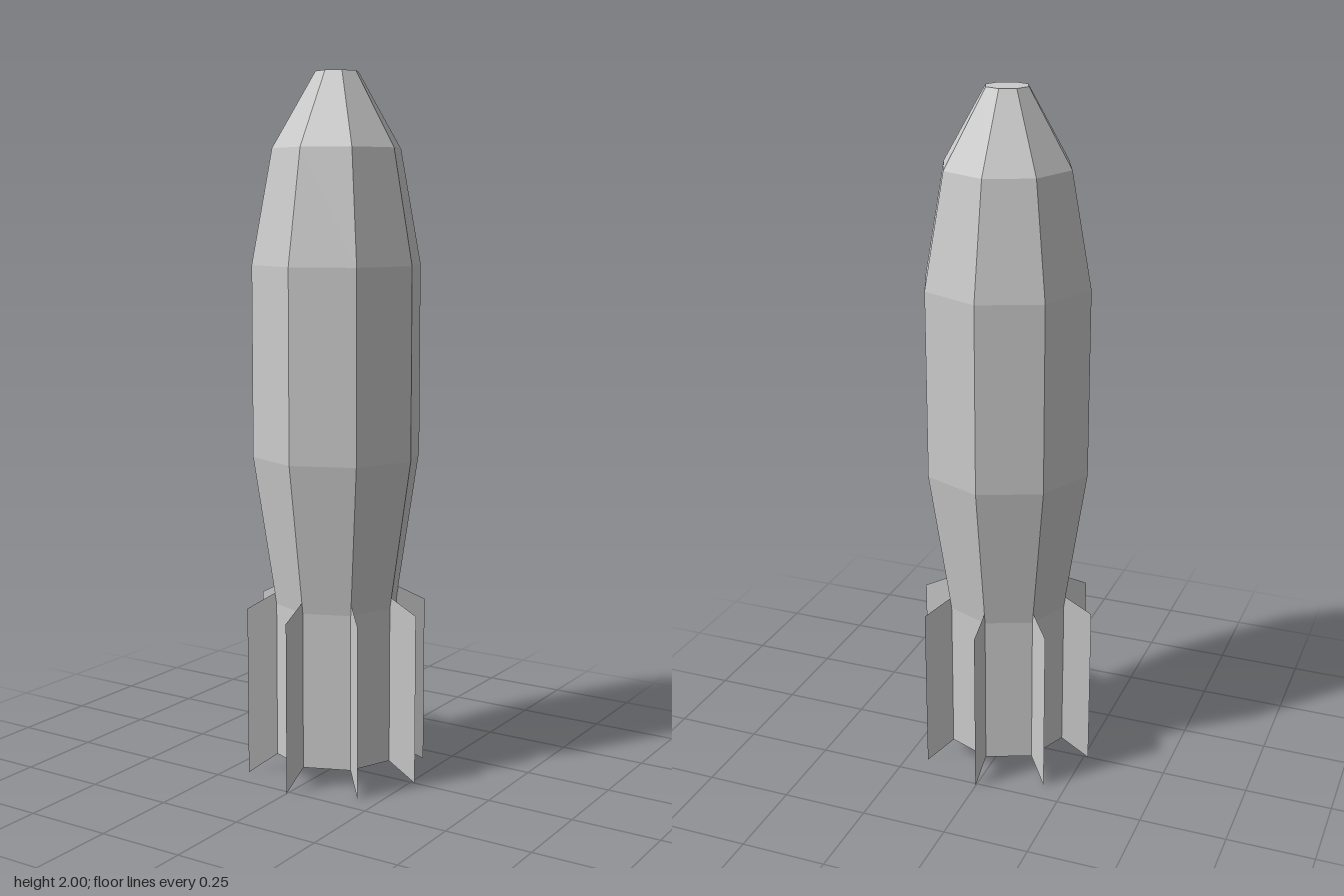
import * as THREE from 'three';

const SIDES = 8;

// Radius and height from the flat tail up to the blunt nose
const PROFILE = [
  [0, 0.05], [0.178, 0.05], [0.178, 0.5], [0.243, 0.93],
  [0.243, 1.47], [0.184, 1.79], [0.061, 2], [0, 2],
];

// Fin outline: distance from the axis and height
const FIN = [[0.177, 0.05], [0.263, 0], [0.263, 0.49], [0.177, 0.535]];

export function createModel() {
  const group = new THREE.Group();
  group.name = 'rocketBomb';

  // Faceted eight-sided body
  const bodyGeometry = new THREE.LatheGeometry(
    PROFILE.map(([r, y]) => new THREE.Vector2(r, y)), SIDES).toNonIndexed();
  bodyGeometry.computeVertexNormals();
  const body = new THREE.Mesh(bodyGeometry,
    new THREE.MeshStandardMaterial({ color: 0xcccccc, flatShading: true }));
  body.name = 'body';
  group.add(body);

  // Paper-thin tail fins, one on every body edge
  const finGeometry = new THREE.ShapeGeometry(
    new THREE.Shape(FIN.map(([x, y]) => new THREE.Vector2(x, y))));
  const finMaterial = new THREE.MeshStandardMaterial({
    color: 0xcccccc, flatShading: true, side: THREE.DoubleSide,
  });
  const fins = new THREE.Group();
  fins.name = 'tailFins';
  for (let i = 0; i < SIDES; i++) {
    const fin = new THREE.Mesh(finGeometry, finMaterial);
    fin.name = `tailFin${i + 1}`;
    fin.rotation.y = (i / SIDES) * Math.PI * 2;
    fins.add(fin);
  }
  group.add(fins);

  return group;
}
